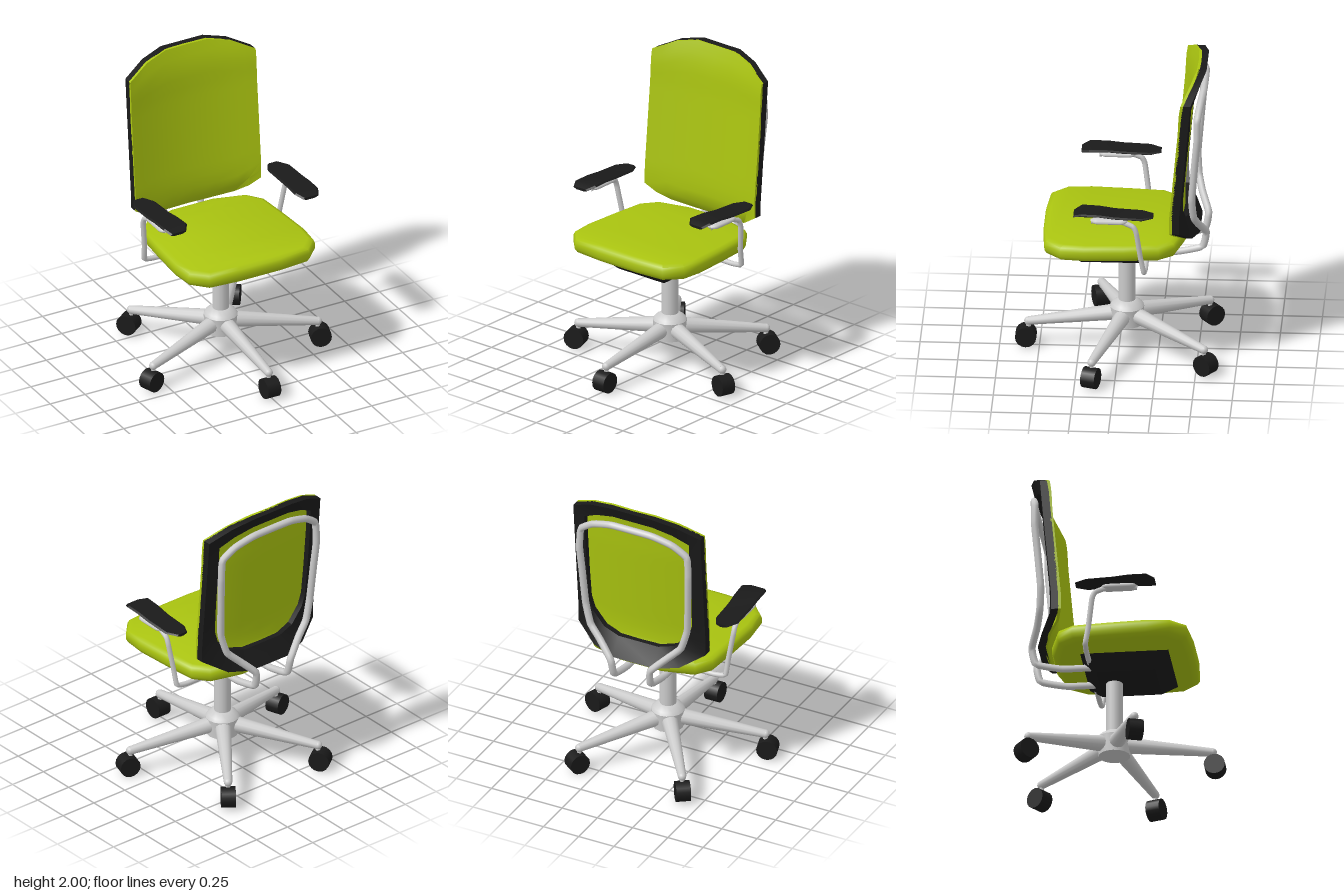
import * as THREE from 'three';
import { toCreasedNormals } from 'three/addons/utils/BufferGeometryUtils.js';

const V = (x, y, z) => new THREE.Vector3(x, y, z);
const green = new THREE.MeshStandardMaterial({ color: 0xaac410 });
const black = new THREE.MeshStandardMaterial({ color: 0x1a1a1a });
const grey = new THREE.MeshStandardMaterial({ color: 0xcccccc });

function add(parent, name, geometry, material) {
  const mesh = new THREE.Mesh(geometry, material);
  mesh.name = name;
  parent.add(mesh);
  return mesh;
}

// Skin a list of equal-length loops; either joined into a ring or capped at both ends.
function loft(loops, ring = false, crease = 0.7) {
  const n = loops[0].length, m = loops.length, pts = loops.flat();
  const index = [];
  const quad = (a, b, c, d) => index.push(a, b, c, a, c, d);
  for (let j = 0; j < (ring ? m : m - 1); j++) {
    const k = (j + 1) % m;
    for (let i = 0; i < n; i++) {
      const i2 = (i + 1) % n;
      quad(j * n + i, j * n + i2, k * n + i2, k * n + i);
    }
  }
  if (!ring) {
    const e = (m - 1) * n;
    for (let i = 0; i < n / 2 - 1; i++) {
      quad(n - 1 - i, n - 2 - i, i + 1, i);
      quad(e + i, e + i + 1, e + n - 2 - i, e + n - 1 - i);
    }
  }
  // turn the faces outward
  let volume = 0;
  for (let i = 0; i < index.length; i += 3) {
    volume += pts[index[i]].dot(V(0, 0, 0).crossVectors(pts[index[i + 1]], pts[index[i + 2]]));
  }
  if (volume < 0) index.reverse();
  const g = new THREE.BufferGeometry().setFromPoints(pts);
  g.setIndex(index);
  return toCreasedNormals(g, crease);
}

function tube(points, radius, sides = 8) {
  const curve = new THREE.CatmullRomCurve3(points, false, 'catmullrom', 0.2);
  return new THREE.TubeGeometry(curve, points.length * 6, radius, sides);
}

function interp(table, t) {
  for (let i = 1; i < table.length; i++) {
    const [a, va] = table[i - 1], [b, vb] = table[i];
    if (t <= b) return va + (vb - va) * Math.max(0, (t - a) / (b - a));
  }
  return table[table.length - 1][1];
}

// Backrest surface: depth by height, plus a forward bow toward the sides
const backProfile = [[0.88, -0.46], [0.96, -0.395], [1.1, -0.395], [1.7, -0.45], [1.82, -0.455], [1.9, -0.468], [2, -0.5]];
const bow = [[0, 0], [0.15, 0.005], [0.3, 0.027], [0.45, 0.058]];
const backZ = (x, y) => interp(backProfile, y) + interp(bow, Math.abs(x));
const backTop = [[0, 2], [0.15, 2], [0.3, 1.965], [0.45, 1.89]];
const backBottom = [[0, 0.88], [0.15, 0.88], [0.3, 0.905], [0.45, 1]];

function createBackrest(parent) {
  const columns = [-0.45, -0.375, -0.3, -0.15, 0, 0.15, 0.3, 0.375, 0.45];
  const rows = 16;
  const loops = columns.map((x) => {
    const lo = interp(backBottom, Math.abs(x)), hi = interp(backTop, Math.abs(x));
    const front = [], back = [];
    for (let i = 0; i <= rows; i++) {
      const y = lo + (hi - lo) * i / rows;
      front.push(V(x, y, backZ(x, y)));
      back.unshift(V(x, y, backZ(x, y) - 0.018));
    }
    return [...front, ...back];
  });
  add(parent, 'backrestCushion', loft(loops), green);

  // dark rim behind the cushion: [outer x, outer y, inner x, inner y]
  const half = [
    [0.15, 0.88, 0.14, 1.0], [0.3, 0.905, 0.25, 1.03], [0.45, 1, 0.34, 1.12],
    [0.45, 1.1, 0.365, 1.2], [0.45, 1.4, 0.37, 1.4], [0.45, 1.7, 0.37, 1.68],
    [0.45, 1.89, 0.37, 1.83], [0.3, 1.965, 0.27, 1.885], [0.15, 2, 0.14, 1.925],
  ];
  const outline = [...half, ...half.map(([a, b, c, d]) => [-a, b, -c, d]).reverse()];
  const rim = outline.map(([ox, oy, ix, iy]) => {
    const zo = backZ(ox, oy) - 0.012, zi = backZ(ix, iy) - 0.012;
    return [V(ox, oy, zo), V(ox, oy, zo - 0.05), V(ix, iy, zi - 0.045), V(ix, iy, zi)];
  });
  add(parent, 'backrestRim', loft(rim, true, 0.5), black);

  // one bent tube runs from under the seat, around the back and down again
  const side = [
    V(0.13, 0.73, -0.12), V(0.13, 0.73, -0.36), V(0.13, 0.77, -0.53), V(0.14, 0.88, -0.555),
    V(0.24, 0.98, -0.51), V(0.32, 1.06, -0.485), V(0.36, 1.2, -0.475), V(0.375, 1.45, -0.495),
    V(0.385, 1.62, -0.51), V(0.375, 1.76, -0.51), V(0.28, 1.83, -0.525), V(0.14, 1.868, -0.54),
  ];
  const path = [...side, ...side.map((p) => V(-p.x, p.y, p.z)).reverse()];
  add(parent, 'backFrameTube', tube(path, 0.023), grey);
}

function createSeat(parent) {
  const half = [
    [0.15, 0.468], [0.36, 0.45], [0.455, 0.35], [0.47, 0.2], [0.455, -0.05],
    [0.435, -0.27], [0.36, -0.37], [0.15, -0.428],
  ];
  const outline = [...half, ...half.map(([x, z]) => [-x, z]).reverse()];
  const layers = [[0.79, 0.89], [0.805, 0.97], [0.83, 1], [0.865, 1], [0.888, 0.98], [0.9, 0.92]];
  const loops = layers.map(([y, s]) => outline.map(([x, z]) => V(x * s, y, 0.02 + (z - 0.02) * s)));
  add(parent, 'seatCushion', loft(loops, false, 0.9), green);

  // tapered mechanism housing
  const housing = new THREE.CylinderGeometry(0.278 * Math.SQRT2, 0.185 * Math.SQRT2, 0.09, 4).toNonIndexed();
  housing.rotateY(Math.PI / 4);
  housing.computeVertexNormals();
  add(parent, 'seatMechanism', housing, black).position.set(0, 0.715, 0.043);
  add(parent, 'seatMount', new THREE.BoxGeometry(0.3, 0.05, 0.3), black).position.set(0, 0.775, 0.04);
}

function createArm(s) {
  const arm = new THREE.Group();
  arm.name = s > 0 ? 'leftArm' : 'rightArm';
  // [z, inner x, outer x, bottom y, top y]
  const sections = [
    [-0.24, 0.44, 0.52, 1.13, 1.148], [-0.17, 0.405, 0.56, 1.128, 1.15], [0, 0.4, 0.56, 1.135, 1.157],
    [0.1, 0.392, 0.558, 1.146, 1.168], [0.21, 0.385, 0.555, 1.145, 1.17], [0.26, 0.42, 0.53, 1.133, 1.15],
  ];
  const pad = sections.map(([z, a, b, lo, hi]) => [
    V(s * (a + 0.025), lo, z), V(s * a, hi - 0.008, z), V(s * (a + 0.012), hi, z),
    V(s * (b - 0.012), hi, z), V(s * b, hi - 0.008, z), V(s * (b - 0.025), lo, z),
  ]);
  add(arm, 'armPad', loft(pad, false, 0.4), black);
  const path = [
    V(0.2, 0.73, -0.185), V(0.4, 0.73, -0.185), V(0.475, 0.745, -0.18), V(0.485, 0.85, -0.16),
    V(0.508, 1.03, -0.135), V(0.508, 1.075, -0.115), V(0.5, 1.108, -0.03), V(0.49, 1.112, 0.05), V(0.49, 1.1, 0.15),
  ].map((p) => V(s * p.x, p.y, p.z));
  add(arm, 'armTube', tube(path, 0.017), grey);
  // flattened carrier under the pad
  const carrier = add(arm, 'padCarrier', new THREE.CapsuleGeometry(0.045, 0.14, 4, 10), grey);
  carrier.geometry.rotateX(Math.PI / 2).scale(1, 0.42, 1);
  carrier.position.set(s * 0.492, 1.107, 0.035);
  return arm;
}

function createBase() {
  const base = new THREE.Group();
  base.name = 'base';
  base.position.z = -0.05;
  const hub = [[0, 0.17], [0.1, 0.17], [0.108, 0.29], [0.095, 0.31], [0.056, 0.335], [0, 0.335]];
  const hubGeo = new THREE.LatheGeometry(hub.map(([r, y]) => new THREE.Vector2(r, y)), 16);
  add(base, 'hub', toCreasedNormals(hubGeo, 0.6), grey);
  add(base, 'column', new THREE.CylinderGeometry(0.053, 0.053, 0.4, 16), grey).position.y = 0.5;
  // five legs with casters
  for (let i = 0; i < 5; i++) {
    const leg = new THREE.Group();
    leg.name = 'leg' + (i + 1);
    leg.rotation.y = i * Math.PI * 2 / 5;
    const a = V(0, 0.245, 0.05), b = V(0, 0.165, 0.62), d = b.clone().sub(a);
    const spoke = add(leg, 'spoke', new THREE.CylinderGeometry(0.027, 0.053, d.length(), 12), grey);
    spoke.position.copy(a).addScaledVector(d, 0.5);
    spoke.quaternion.setFromUnitVectors(V(0, 1, 0), d.normalize());
    add(leg, 'spokeTip', new THREE.SphereGeometry(0.027, 12, 8), grey).position.copy(b);
    add(leg, 'casterStem', new THREE.CylinderGeometry(0.015, 0.015, 0.06, 8), grey).position.set(0, 0.14, 0.62);
    const wheel = add(leg, 'caster', new THREE.CylinderGeometry(0.067, 0.067, 0.092, 16), black);
    wheel.rotation.z = Math.PI / 2;
    wheel.position.set(0, 0.067, 0.635);
    base.add(leg);
  }
  return base;
}

export function createModel() {
  const chair = new THREE.Group();
  chair.name = 'officeChair';
  createBackrest(chair);
  createSeat(chair);
  chair.add(createArm(1), createArm(-1), createBase());
  return chair;
}
